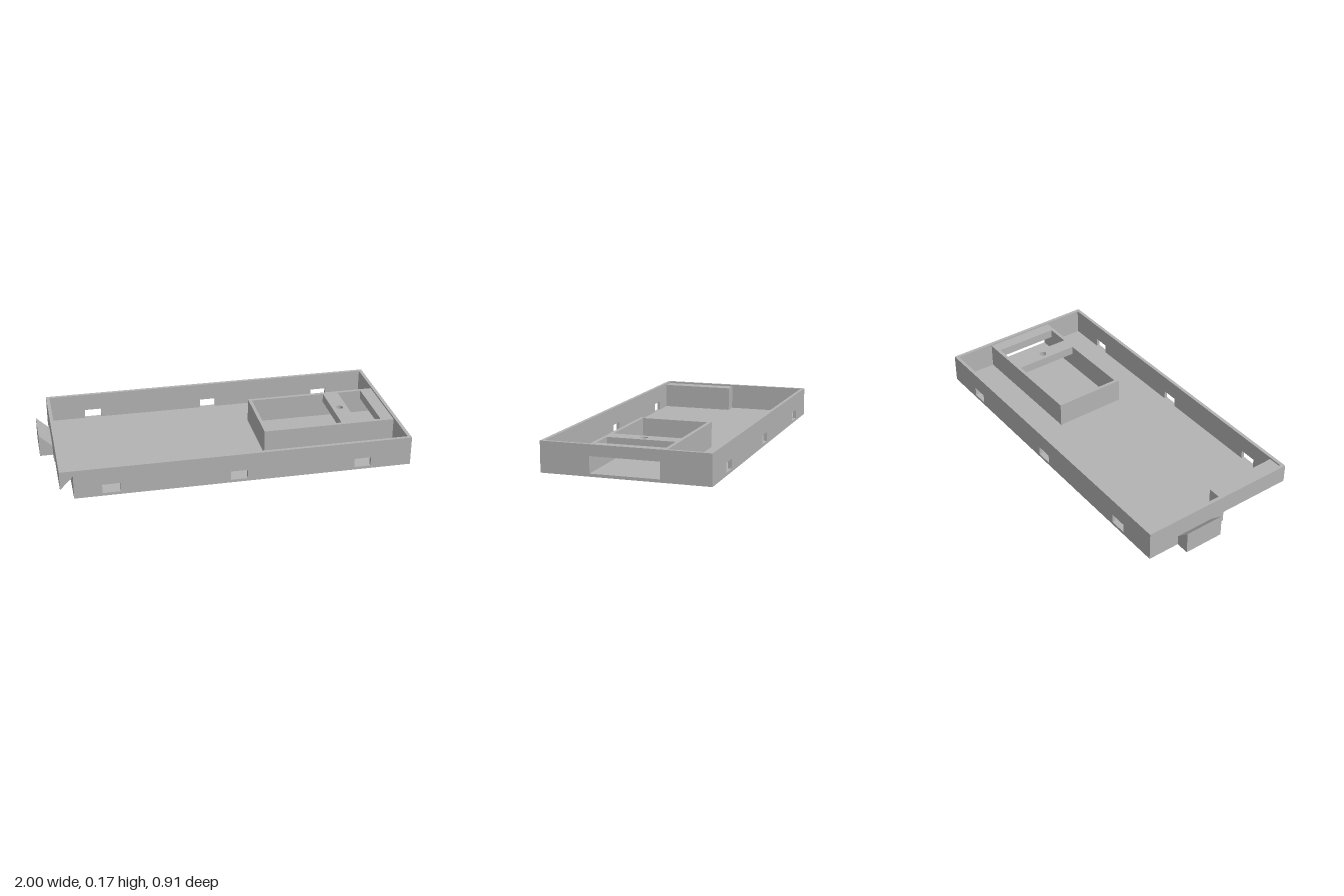
import * as THREE from 'three';

// Overall tray dimensions
const X0 = -0.927, X1 = 1, Z = 0.453, H = 0.165, T = 0.019, FLOOR = 0.016;
const LEDGE = 0.155;              // top of the inner compartment and latch housing
const CH_X = -0.856, CH_Z = 0.03; // inner limits of the latch channel
const IN = Z - T;                 // inside face of the long walls

const poly = (pts, C = THREE.Shape) => new C(pts.map(([x, y]) => new THREE.Vector2(x, y)));
const rect = (x0, y0, x1, y1, C = THREE.Path) => poly([[x0, y0], [x1, y0], [x1, y1], [x0, y1]], C);

export function createModel() {
  const group = new THREE.Group();
  const grey = new THREE.MeshStandardMaterial({ color: 0xb3b3b3 });
  grey.name = 'grey plastic';

  const add = (name, geometry) => {
    const mesh = new THREE.Mesh(geometry, grey);
    mesh.name = name;
    group.add(mesh);
  };
  const extrude = (shape, depth) =>
    new THREE.ExtrudeGeometry(shape, { depth, bevelEnabled: false, curveSegments: 16 });
  // Profile in x,y swept along z
  const alongZ = (name, shape, z0, z1) => add(name, extrude(shape, z1 - z0).translate(0, 0, z0));
  // Profile in -z,y swept along x
  const alongX = (name, shape, x0, x1) =>
    add(name, extrude(shape, x1 - x0).rotateY(Math.PI / 2).translate(x0, 0, 0));
  // Profile in x,-z swept upwards
  const alongY = (name, shape, y0, y1) =>
    add(name, extrude(shape, y1 - y0).rotateX(-Math.PI / 2).translate(0, y0, 0));

  // Floor, cut away under the latch channel
  alongY('floor', poly([
    [X0 + T, IN], [X0 + T, -CH_Z], [CH_X, -CH_Z], [CH_X, -IN], [X1 - T, -IN], [X1 - T, IN],
  ]), 0, FLOOR);

  // Long walls with three small windows; the front one is notched by the channel
  const windows = [[-0.706, -0.61], [-0.013, 0.08], [0.678, 0.771]];
  const frontShape = poly([[X0, 0.06], [CH_X, 0.134], [CH_X, 0], [X1, 0], [X1, H], [X0, H]]);
  const backShape = rect(X0, 0, X1, H, THREE.Shape);
  for (const shape of [frontShape, backShape])
    for (const [a, b] of windows) shape.holes.push(rect(a, FLOOR, b, 0.067));
  alongZ('frontWall', frontShape, IN, Z);
  alongZ('backWall', backShape, -Z, -IN);

  // End walls: one with a wide slot, one stepped over the latch housing
  const slotWall = rect(-IN, 0, IN, H, THREE.Shape);
  slotWall.holes.push(rect(-0.186, FLOOR, 0.186, 0.105));
  alongX('slottedEndWall', slotWall, X1 - T, X1);
  alongX('latchEndWall', poly([
    [-IN, LEDGE], [-CH_Z, LEDGE], [-CH_Z, 0], [IN, 0], [IN, H], [-IN, H],
  ]), X0, X0 + T);

  // Housing over the channel with its sloped ceiling, and its closed end
  alongZ('latchHousing', poly([
    [X0, 0.06], [CH_X, 0.134], [CH_X, FLOOR], [-0.83, FLOOR], [-0.83, LEDGE], [X0, LEDGE],
  ]), CH_Z, IN);
  alongZ('latchHousingEnd', rect(X0 + T, FLOOR, -0.83, LEDGE, THREE.Shape), 0.014, CH_Z);

  // Outer hook with a sloped top
  alongZ('latchHook', poly([[-1, 0], [X0, 0], [X0, 0.056], [-1, 0.126]]), -0.272, -0.048);

  // Compartment: low U-shaped wall, then a rim with two bridges and a screw hole
  const cx0 = 0.23, cx1 = X1 - T, cz = 0.206, iz = 0.186;
  alongY('compartmentWall', poly([
    [cx0, -cz], [cx1, -cz], [cx1, -iz], [cx0 + T, -iz],
    [cx0 + T, iz], [cx1, iz], [cx1, cz], [cx0, cz],
  ]), FLOOR, 0.105);
  const rim = rect(cx0, -cz, cx1, cz, THREE.Shape);
  rim.holes.push(rect(cx0 + T, -iz, 0.68, iz), rect(0.77, -iz, 0.91, iz));
  rim.holes.push(new THREE.Path().absarc(0.725, 0, 0.02, 0, Math.PI * 2, true));
  alongY('compartmentRim', rim, 0.105, LEDGE);

  return group;
}
